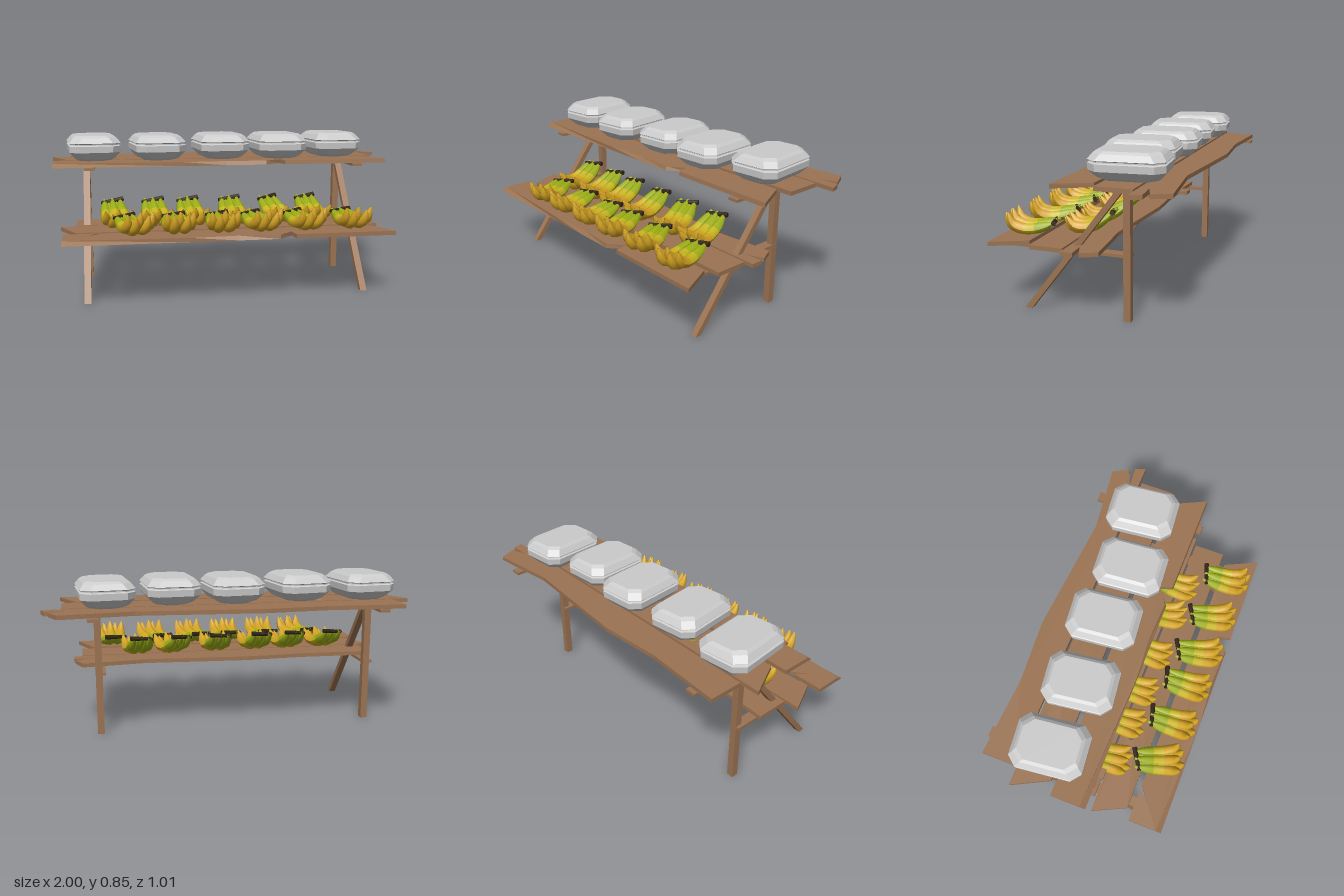
import * as THREE from 'three';

const material = (name, color, side = THREE.FrontSide) => {
  const m = new THREE.MeshStandardMaterial({ color, side });
  m.name = name;
  return m;
};

export function createModel() {
  const wood = material('wood', 0x9b7352);
  const foam = material('pale grey foam', 0xcbcbcb);
  const green = material('unripe green', 0x9cae16, THREE.DoubleSide);
  const yellow = material('ripe yellow', 0xc9b41e, THREE.DoubleSide);
  const golden = material('golden yellow', 0xd4a322, THREE.DoubleSide);
  const brown = material('dark stem brown', 0x33241a);

  const root = new THREE.Group();
  root.name = 'marketStall';
  const add = (name, geometry, mat, parent = root) => {
    const mesh = new THREE.Mesh(geometry, mat);
    mesh.name = name;
    parent.add(mesh);
    return mesh;
  };
  const box = (name, w, h, d, x, y, z) =>
    add(name, new THREE.BoxGeometry(w, h, d), wood).position.set(x, y, z);

  // Trestle frame: upright, sloping brace and two cross rails at each end
  for (const x of [-0.8, 0.715]) {
    box('uprightLeg', 0.037, 0.677, 0.037, x, 0.3385, -0.2035);
    const brace = new THREE.BoxGeometry(0.036, 0.677, 0.037).translate(0, 0.3385, 0);
    const p = brace.attributes.position;
    for (let i = 0; i < p.count; i++) p.setZ(i, p.getZ(i) + 0.339 - 0.766 * p.getY(i));
    brace.computeVertexNormals();
    add('slopingLeg', brace, wood).position.x = x;
    box('upperRail', 0.056, 0.015, 0.64, x + 0.022, 0.6825, -0.185);
    box('lowerRail', 0.056, 0.015, 0.64, x - 0.008, 0.3375, 0.1);
  }

  // Weathered planks: outline in x, z; the front edge can be worn away at the top
  function plank(name, y, outline, { hole, worn } = {}) {
    const shape = new THREE.Shape(outline.map(([x, z]) => new THREE.Vector2(x, -z)));
    if (hole) shape.holes.push(new THREE.Path().absarc(hole[0], -hole[1], 0.018, 0, Math.PI * 2, true));
    const g = new THREE.ExtrudeGeometry(shape, { depth: 0.022, bevelEnabled: false, curveSegments: 4 });
    g.rotateX(-Math.PI / 2);
    if (worn) {
      const p = g.attributes.position;
      const zMax = Math.max(...outline.map((q) => q[1]));
      for (let i = 0; i < p.count; i++)
        if (p.getY(i) < 0.01 && p.getZ(i) > zMax - 0.045) p.setZ(i, zMax);
      g.computeVertexNormals();
    }
    add(name, g, wood).position.y = y;
  }
  const upperY = 0.69, lowerY = 0.345;
  plank('upperBackPlank', upperY, [
    [-0.9, -0.49], [-0.475, -0.465], [-0.13, -0.49], [0.53, -0.44], [0.91, -0.487],
    [0.955, -0.395], [0.855, -0.358], [0.975, -0.368], [0.995, -0.308], [-0.9, -0.308],
  ]);
  plank('upperMiddlePlank', upperY,
    [[-1, -0.295], [0.895, -0.295], [0.895, -0.105], [-0.905, -0.105]], { hole: [-0.5, -0.23] });
  plank('upperFrontPlank', upperY, [
    [-0.975, -0.08], [0.825, -0.08], [0.915, 0.105], [0.32, 0.105], [0.3, 0.04], [0.21, 0.1],
    [-0.02, 0.09], [-0.27, 0.108], [-0.975, 0.078],
  ], { worn: true });
  plank('lowerBackPlank', lowerY, [
    [-0.86, -0.09], [-0.45, -0.075], [-0.13, -0.09], [0.45, -0.05], [0.8, -0.085],
    [0.84, 0], [0.75, 0.035], [0.85, 0.03], [0.85, 0.093], [-0.86, 0.093],
  ]);
  plank('lowerMiddlePlank', lowerY,
    [[-0.94, 0.105], [0.805, 0.105], [0.805, 0.285], [-0.855, 0.285]], { hole: [-0.48, 0.165] });
  plank('lowerFrontPlank', lowerY, [
    [-0.915, 0.315], [-0.74, 0.315], [-0.79, 0.375], [-0.71, 0.315], [0.74, 0.315], [0.83, 0.503],
    [0.285, 0.503], [0.275, 0.43], [0.2, 0.5], [-0.02, 0.487], [-0.27, 0.503], [-0.915, 0.472],
  ], { worn: true });

  // Clamshell food box: stacked chamfered rectangles as [height, inset]
  const profile = [[0, 0.055], [0.012, 0.034], [0.05, 0.002], [0.085, 0], [0.09, 0.009],
    [0.096, 0.009], [0.101, 0], [0.13, 0.022], [0.142, 0.038]];
  const verts = [], faces = [];
  for (const [y, inset] of profile) {
    const a = 0.143 - inset, b = 0.19 - inset, c = 0.048;
    for (const [x, z] of [[a, b - c], [a, c - b], [a - c, -b], [c - a, -b],
      [-a, c - b], [-a, b - c], [c - a, b], [a - c, b]]) verts.push(x, y, z);
  }
  for (let r = 0; r < profile.length - 1; r++)
    for (let i = 0; i < 8; i++) {
      const p = r * 8 + i, q = r * 8 + (i + 1) % 8;
      faces.push(p, q, q + 8, p, q + 8, p + 8);
    }
  const top = (profile.length - 1) * 8;
  for (let i = 1; i < 7; i++) faces.push(top, top + i, top + i + 1, 0, i + 1, i);
  let boxGeometry = new THREE.BufferGeometry();
  boxGeometry.setAttribute('position', new THREE.Float32BufferAttribute(verts, 3));
  boxGeometry.setIndex(faces);
  boxGeometry = boxGeometry.toNonIndexed();
  boxGeometry.computeVertexNormals();
  for (const [x, z, yaw] of [[-0.76, -0.16, 0.11], [-0.395, -0.145, 0.13], [-0.02, -0.165, 0.1],
    [0.32, -0.145, 0.08], [0.67, -0.205, 0.1]]) {
    const b = add('foodBox', boxGeometry, foam);
    b.position.set(x, 0.712, z);
    b.rotation.y = yaw;
  }

  // Banana: a curved tube with varying thickness, banded from green to golden
  const path = new THREE.CatmullRomCurve3([[0.07, -0.125], [0.049, -0.075], [0.033, -0.015],
    [0.033, 0.045], [0.057, 0.095], [0.118, 0.118]].map(([y, z]) => new THREE.Vector3(0, y, z)));
  const steps = 14, sides = 8;
  const radii = [0.008, 0.013, 0.02, 0.025, 0.028, 0.029, 0.029, 0.029, 0.029, 0.029, 0.028, 0.025, 0.02, 0.013, 0.003];
  const banana = new THREE.TubeGeometry(path, steps, 1, sides);
  const bp = banana.attributes.position, v = new THREE.Vector3();
  for (let i = 0; i < bp.count; i++) {
    const s = Math.floor(i / (sides + 1));
    const c = path.getPointAt(s / steps);
    v.fromBufferAttribute(bp, i).sub(c).multiplyScalar(radii[s]).add(c);
    bp.setXYZ(i, v.x, v.y, v.z);
  }
  banana.computeVertexNormals();
  [[0, 5], [5, 8], [8, steps]].forEach(([from, to], k) =>
    banana.addGroup(from * sides * 6, (to - from) * sides * 6, k));

  // Bunch: three bananas above, two nested below, joined by a dark crown
  const crown = new THREE.CylinderGeometry(0.01, 0.014, 0.13, 6).rotateZ(Math.PI / 2);
  function bunch(name, x, y, z, yaw, tilt) {
    const g = new THREE.Group();
    g.name = name;
    for (const [k, low] of [[-1, 0], [0, 0], [1, 0], [-0.5, 1], [0.5, 1]]) {
      const b = add('banana', banana, [green, yellow, golden], g);
      b.position.set(k * 0.047, low ? 0 : 0.014 - Math.abs(k) * 0.004, low ? 0.01 : -0.012);
      b.rotation.set(0, k * 0.09, -k * 0.12);
    }
    const stem = add('crownStem', crown, brown, g);
    stem.position.set(0, 0.077, -0.125);
    stem.rotation.set(0, 0.2, 0.06);
    g.rotation.order = 'YXZ';
    g.rotation.set(tilt, yaw, 0);
    g.position.set(x, y, z);
    root.add(g);
  }
  const yaws = [0.36, 0.08, 0.06, 0.28, 0.3, 0.12];
  [-0.555, -0.325, -0.09, 0.12, 0.36, 0.62].forEach((x, i) =>
    bunch('frontBananaBunch', x, 0.365, 0.36, yaws[i], 0));
  [-0.645, -0.42, -0.22, 0.02, 0.27, 0.48].forEach((x, i) =>
    bunch('backBananaBunch', x, 0.372, 0.065, [0.15, 0.1, 0.1, 0.05, 0.3, 0.1][i], 0.3));

  return root;
}
